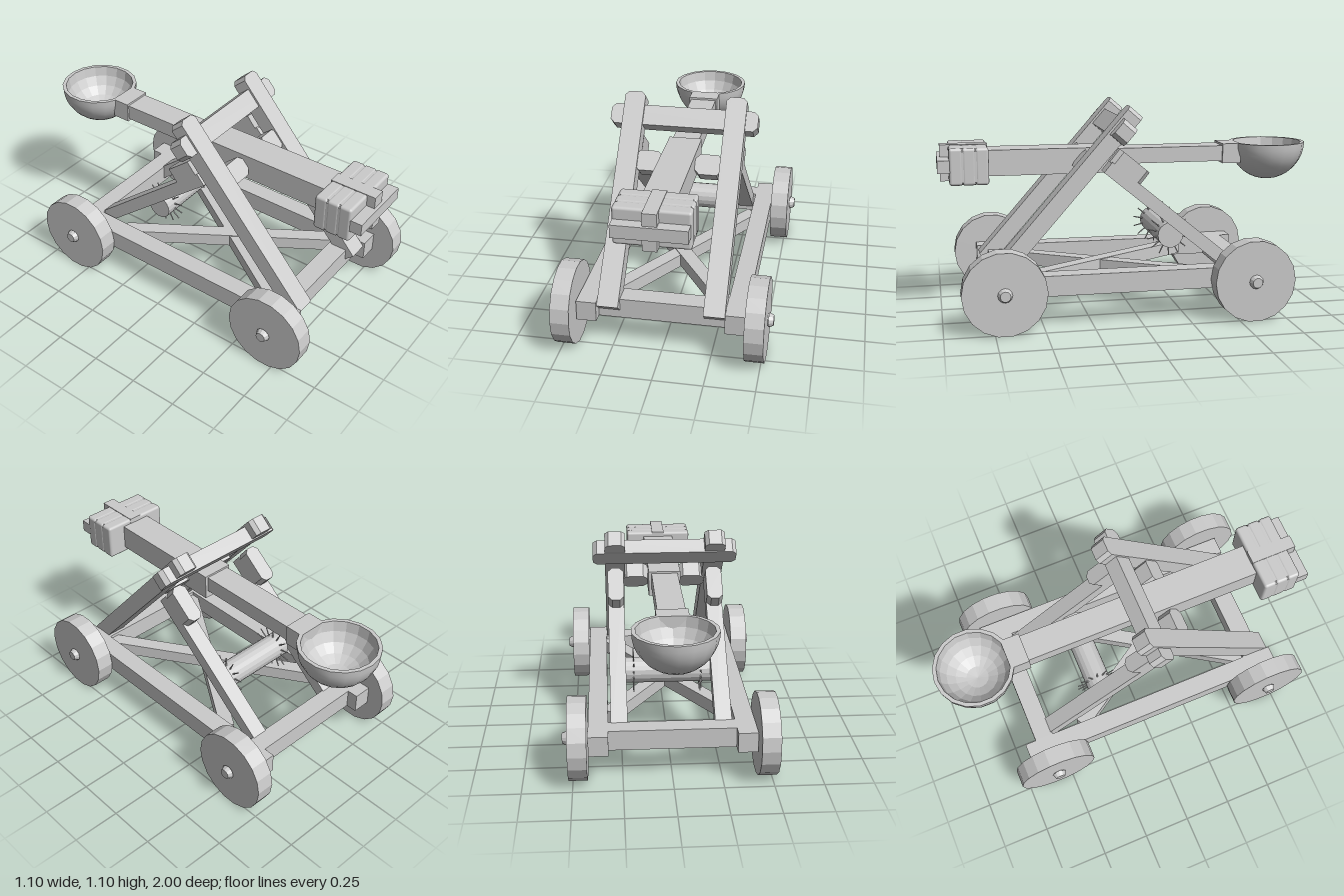
import * as THREE from 'three';
import { RoundedBoxGeometry } from 'three/addons/geometries/RoundedBoxGeometry.js';

const flat = new THREE.MeshStandardMaterial({ color: 0xcccccc, flatShading: true });
const smooth = new THREE.MeshStandardMaterial({ color: 0xcccccc });

export function createModel() {
  const root = new THREE.Group();

  function add(name, geo, x = 0, y = 0, z = 0, mat = flat) {
    const m = new THREE.Mesh(geo, mat);
    m.name = name;
    m.position.set(x, y, z);
    root.add(m);
    return m;
  }
  // Box given by its extents on each axis
  const block = (name, x0, x1, y0, y1, z0, z1) =>
    add(name, new THREE.BoxGeometry(x1 - x0, y1 - y0, z1 - z0),
      (x0 + x1) / 2, (y0 + y1) / 2, (z0 + z1) / 2);

  // Box with the four corners of its XY outline cut off
  function chamferBox(w, h, d, c, cBottom = c) {
    const a = w / 2, b = h / 2, s = new THREE.Shape();
    s.moveTo(-a + cBottom, -b);
    s.lineTo(a - cBottom, -b);
    if (cBottom) s.lineTo(a, -b + cBottom);
    s.lineTo(a, b - c);
    s.lineTo(a - c, b);
    s.lineTo(-a + c, b);
    s.lineTo(-a, b - c);
    if (cBottom) s.lineTo(-a, -b + cBottom);
    s.closePath();
    return new THREE.ExtrudeGeometry(s, { depth: d, bevelEnabled: false }).translate(0, 0, -d / 2);
  }
  // Tilt that turns local y towards (dy, dz)
  const tilt = (dy, dz) => Math.atan2(dz, dy);
  const frontTilt = tilt(0.85, -0.745), braceTilt = tilt(0.6, 0.73);

  // Base frame
  for (const s of [-1, 1]) {
    const rail = block('sideRail', 0.32, 0.42, 0.165, 0.27, -0.69, 0.79);
    rail.position.x *= s;
  }
  block('frontCrossBeam', -0.32, 0.32, 0.165, 0.27, 0.63, 0.735);
  block('rearCrossBeam', -0.32, 0.32, 0.165, 0.27, -0.63, -0.53);
  for (const s of [-1, 1]) {
    const diagonal = add('floorDiagonal', new THREE.BoxGeometry(0.075, 0.07, 1.2), 0, 0.215 + s * 0.002, 0.15);
    diagonal.rotation.y = s * Math.atan2(0.64, 1.0);
  }

  // Wheels and axles
  for (const z of [0.70, -0.575]) {
    const axle = add('axle', new THREE.CylinderGeometry(0.03, 0.03, 1.08, 12), 0, 0.212, z);
    axle.rotation.z = Math.PI / 2;
    for (const s of [-1, 1]) {
      const wheel = add('wheel', new THREE.CylinderGeometry(0.212, 0.212, 0.095, 18), s * 0.4725, 0.212, z);
      wheel.rotation.z = Math.PI / 2;
      const cap = add('hubCap', new THREE.CylinderGeometry(0.026, 0.037, 0.025, 12), s * 0.5375, 0.212, z);
      cap.rotation.z = -s * Math.PI / 2;
    }
  }

  // Leaning A-frames, one per side
  for (const s of [-1, 1]) {
    const upright = add('frontUpright', chamferBox(0.107, 1.13, 0.088, 0.02, 0), s * 0.265, 0.645, 0.377);
    upright.rotation.x = frontTilt;
    const brace = add('rearBrace', new THREE.BoxGeometry(0.085, 0.95, 0.068), s * 0.263, 0.489, -0.217);
    brace.rotation.x = braceTilt;
    const cheek = add('braceBlock', chamferBox(0.085, 0.2, 0.085, 0.022), s * 0.263, 0.785, 0.035);
    cheek.rotation.x = braceTilt;
    const stub = add('pivotStub', chamferBox(0.14, 0.107, 0.085, 0.025), s * 0.155, 0.79, 0.24);
    stub.rotation.x = frontTilt;
  }
  const bar = add('topCrossbar', chamferBox(0.765, 0.107, 0.083, 0.022), 0, 0.973, 0.078);
  bar.rotation.x = frontTilt;

  // Throwing arm
  block('armThickEnd', -0.085, 0.085, 0.73, 0.865, 0.06, 0.76);
  block('armThinEnd', -0.07, 0.07, 0.772, 0.855, -0.56, 0.1);
  block('armCollar', -0.08, 0.08, 0.76, 0.866, -0.62, -0.52);

  // Bowl: outer shell with rim, then faceted inner hollow
  const outer = [], inner = [], R = 0.207;
  for (let i = 0; i <= 10; i++) {
    const a = (i / 10) * Math.PI / 2;
    outer.push(new THREE.Vector2(R * Math.sin(a), -R * Math.cos(a)));
  }
  for (let i = 0; i <= 5; i++) {
    const a = Math.PI / 2 * (1 - i / 5);
    inner.push(new THREE.Vector2(0.187 * Math.sin(a), -0.175 * Math.cos(a)));
  }
  add('bowlOutside', new THREE.LatheGeometry(outer, 18), 0, 0.866, -0.793, smooth);
  add('bowlInside', new THREE.LatheGeometry(inner, 18), 0, 0.866, -0.793);
  const rim = add('bowlRim', new THREE.RingGeometry(0.187, R, 18), 0, 0.866, -0.793);
  rim.rotation.set(-Math.PI / 2, 0, Math.PI / 2);

  // Counterweight: stacked slabs, bands, strap and front bar
  for (let i = 0; i < 3; i++)
    add('counterweightSlab', new RoundedBoxGeometry(0.37, 0.19, 0.068, 2, 0.014), 0, 0.795, 0.775 + i * 0.066, smooth);
  for (const z of [0.808, 0.874])
    add('counterweightBand', chamferBox(0.366, 0.186, 0.02, 0.014), 0, 0.795, z);
  block('counterweightStrap', -0.035, 0.035, 0.703, 0.893, 0.74, 0.985);
  block('counterweightBar', -0.18, 0.18, 0.765, 0.83, 0.93, 1.0);

  // Winch roller with two rings of pegs
  const roller = add('winchRoller', new THREE.CylinderGeometry(0.068, 0.068, 0.45, 18), 0, 0.408, -0.197);
  roller.rotation.z = Math.PI / 2;
  for (const x of [-0.17, 0.18]) {
    for (let i = 0; i < 14; i++) {
      const a = (i / 14) * Math.PI * 2;
      const peg = add('winchPeg', new THREE.CylinderGeometry(0.003, 0.004, 0.06, 6),
        x, 0.408 + 0.088 * Math.cos(a), -0.197 + 0.088 * Math.sin(a));
      peg.rotation.x = a;
    }
  }
  return root;
}
